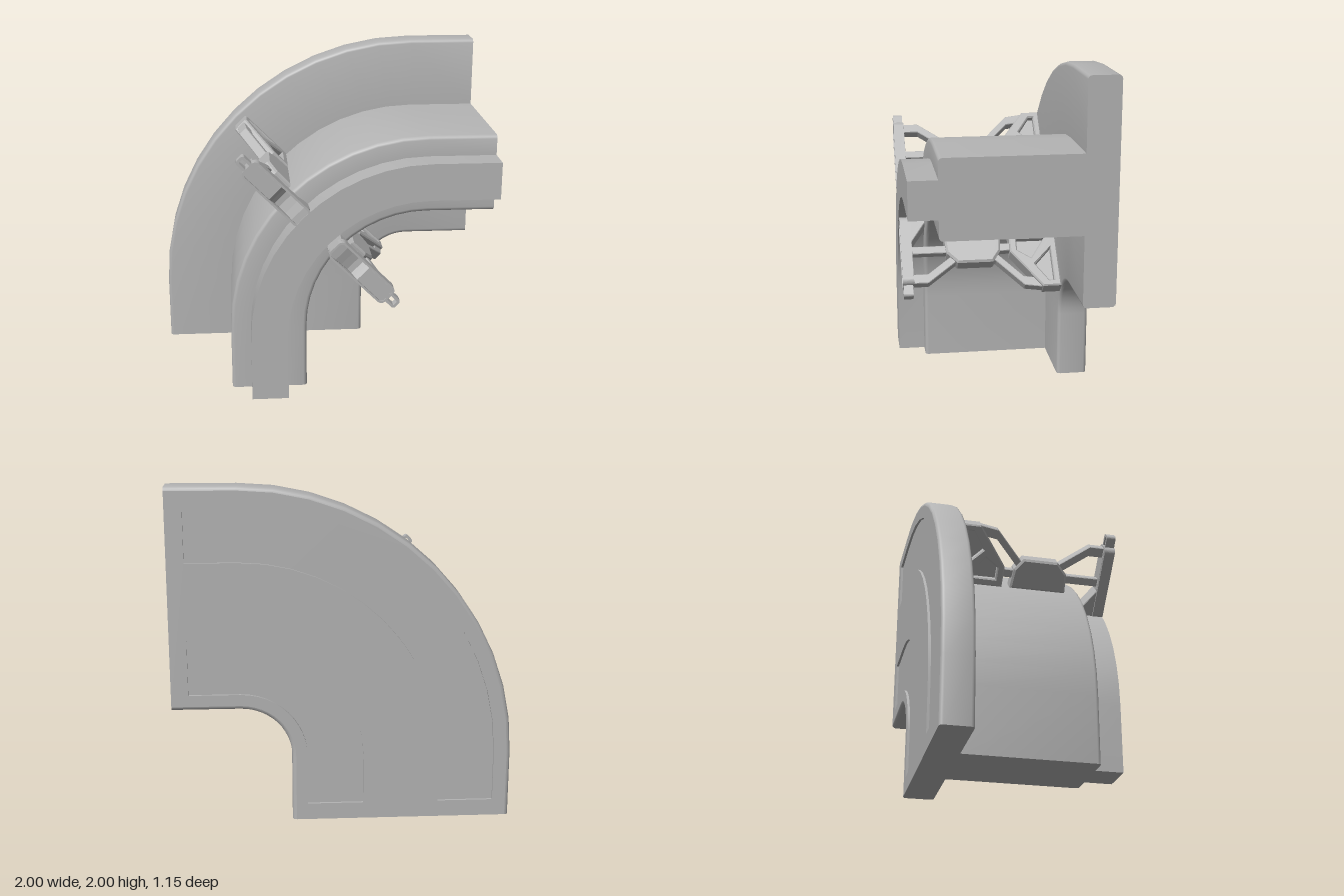
import * as THREE from 'three';
import { toCreasedNormals } from 'three/addons/utils/BufferGeometryUtils.js';

const CX = 0.6, CY = 0.4;   // centre of the bend
const STEPS = 12;           // facets in the quarter turn
const grey = new THREE.MeshStandardMaterial({ color: 0xb4b4b4 });
grey.name = 'grey';

function add(parent, name, geometry) {
  const mesh = new THREE.Mesh(geometry, grey);
  mesh.name = name;
  parent.add(mesh);
  return mesh;
}

// Stations along the bend: straight leg, quarter arc, straight leg
function stations(inset = 0) {
  const list = [[CX, inset, Math.PI]];
  for (let i = 0; i <= STEPS; i++) list.push([CX, CY, Math.PI - (i / STEPS) * Math.PI / 2]);
  list.push([1 - inset, CY, Math.PI / 2]);
  return list;
}
const at = ([x, y, a], r) => [x + r * Math.cos(a), y + r * Math.sin(a)];

// Round the square corners of a profile; each corner is [r, z, radius]
function rounded(corners) {
  const out = [];
  corners.forEach(([x, y, rad = 0], i) => {
    const p = new THREE.Vector2(x, y);
    if (!rad) { out.push(p); return; }
    const n = corners.length, prev = corners[(i + n - 1) % n], next = corners[(i + 1) % n];
    const din = p.clone().sub(new THREE.Vector2(prev[0], prev[1])).normalize();
    const dout = new THREE.Vector2(next[0], next[1]).sub(p).normalize();
    const c = p.clone().addScaledVector(din, -rad).addScaledVector(dout, rad);
    for (let k = 0; k <= 3; k++) {
      const a = k * Math.PI / 6;
      out.push(c.clone().addScaledVector(dout, -rad * Math.cos(a)).addScaledVector(din, rad * Math.sin(a)));
    }
  });
  return out;
}

// Sweep a counter-clockwise (r, z) profile along the bend, leaving its last edge open
function sweep(profile, inset = 0, inward = false) {
  const rings = stations(inset).map(s => profile.map(p => [...at(s, p.x), p.y]));
  const pos = [];
  const tri = (a, b, c) => inward ? pos.push(...a, ...c, ...b) : pos.push(...a, ...b, ...c);
  for (let i = 0; i < rings.length - 1; i++) {
    for (let j = 0; j < profile.length - 1; j++) {
      const a = rings[i][j], b = rings[i][j + 1], c = rings[i + 1][j + 1], d = rings[i + 1][j];
      tri(a, b, c);
      tri(a, c, d);
    }
  }
  const first = rings[0], last = rings[rings.length - 1];
  for (const [a, b, c] of THREE.ShapeUtils.triangulateShape(profile, [])) {
    tri(first[a], first[c], first[b]);
    tri(last[a], last[b], last[c]);
  }
  const g = new THREE.BufferGeometry();
  g.setAttribute('position', new THREE.Float32BufferAttribute(pos, 3));
  return toCreasedNormals(g, 0.6);
}

// Flat outline of a band of the bend, mirrored in x so it can be turned to face the back
function bandOutline(r0, r1, inset = 0) {
  const s = stations(inset);
  return [...s.map(k => at(k, r1)), ...s.reverse().map(k => at(k, r0))]
    .map(([x, y]) => new THREE.Vector2(-x, y));
}

const toShape = pts => new THREE.Shape(pts.map(p => new THREE.Vector2(...p)));

// Extrude an (r, z) side profile across the clip's width
function across(pts, width, holes = [], bevel = 0.008) {
  const shape = toShape(pts);
  holes.forEach(h => shape.holes.push(toShape(h)));
  const depth = width - 2 * bevel;
  return new THREE.ExtrudeGeometry(shape, {
    depth, bevelEnabled: bevel > 0, bevelSize: bevel, bevelThickness: bevel, bevelOffset: -bevel, bevelSegments: 1,
  }).translate(0, 0, -depth / 2).rotateX(Math.PI / 2);
}

// Bar of constant radial thickness through (r, z) points
function bar(pts, thick, width) {
  const t = thick / 2;
  return across([...pts.map(([r, z]) => [r - t, z]), ...pts.slice().reverse().map(([r, z]) => [r + t, z])], width, [], 0.004);
}

function roundRect(path, x0, x1, w, r) {
  path.moveTo(x0 + r, -w);
  path.lineTo(x1 - r, -w);
  path.absarc(x1 - r, -w + r, r, -Math.PI / 2, 0);
  path.absarc(x1 - r, w - r, r, 0, Math.PI / 2);
  path.absarc(x0 + r, w - r, r, Math.PI / 2, Math.PI);
  path.absarc(x0 + r, -w + r, r, Math.PI, Math.PI * 1.5);
  return path;
}

// Rounded frame lying in the front plane
function frontFrame(x0, x1, w, r, rim, z0, z1) {
  const shape = roundRect(new THREE.Shape(), x0, x1, w, r);
  shape.holes.push(roundRect(new THREE.Path(), x0 + rim, x1 - rim, w - rim, Math.max(r - rim, 0.006)));
  return new THREE.ExtrudeGeometry(shape, { depth: z1 - z0, bevelEnabled: false, curveSegments: 5 }).translate(0, 0, z0);
}

// Clip: x runs radially outward, z forward, seated at radius 1.18
function makeClip(name) {
  const clip = new THREE.Group();
  clip.name = name;
  const R = 1.18;

  // Lever with raised rim, dished face, hook and pull tab
  add(clip, 'leverRim', frontFrame(1.04, 1.5, 0.064, 0.035, 0.012, 0.51, 0.575));
  add(clip, 'leverHook', across([
    [1.046, 0.42], [1.09, 0.42], [1.22, 0.508], [1.49, 0.508], [1.49, 0.57], [1.28, 0.57],
    [1.26, 0.556], [1.235, 0.54], [1.2, 0.538], [1.15, 0.55], [1.1, 0.565], [1.046, 0.57],
  ], 0.108, [], 0.004));
  add(clip, 'pullTab', frontFrame(1.48, 1.57, 0.032, 0.018, 0.016, 0.515, 0.572));

  // Hub and struts
  add(clip, 'hub', across([
    [R, 0.31], [R + 0.12, 0.3], [R + 0.19, 0.235], [R + 0.19, 0.02], [R + 0.12, -0.03], [R, -0.04],
  ], 0.1, [], 0.012));
  add(clip, 'straightStrut', bar([[R + 0.085, -0.11], [R + 0.085, 0.52]], 0.05, 0.05));
  add(clip, 'frontStrut', bar([[R + 0.12, 0.2], [R + 0.15, 0.25], [R + 0.28, 0.42], [R + 0.28, 0.52]], 0.06, 0.06));
  add(clip, 'rearStrut', bar([[R + 0.12, 0.05], [R + 0.15, 0], [R + 0.32, -0.16], [R + 0.34, -0.29]], 0.06, 0.06));

  // Triangular bracket with two openings
  add(clip, 'bracket', across(
    [[R, -0.09], [R, -0.38], [R + 0.37, -0.38], [R + 0.37, -0.27], [R + 0.13, -0.09]], 0.1,
    [
      [[R + 0.045, -0.135], [R + 0.045, -0.305], [R + 0.175, -0.215], [R + 0.12, -0.135]],
      [[R + 0.11, -0.34], [R + 0.33, -0.34], [R + 0.33, -0.31], [R + 0.22, -0.235]],
    ], 0.008));
  add(clip, 'bracketWeb', across([[R + 0.02, -0.11], [R + 0.02, -0.36], [R + 0.34, -0.36], [R + 0.34, -0.28], [R + 0.12, -0.11]], 0.02, [], 0));
  return clip;
}

export function createModel() {
  const model = new THREE.Group();
  model.name = 'curvedCorner';

  // Flanged body with front ridge
  const e = 0.022;
  add(model, 'body', sweep(rounded([
    [1.6, -0.572, e], [1.6, -0.385, e], [1.18, -0.385], [1.18, 0.41, e], [1.06, 0.41], [1.06, 0.575],
    [0.84, 0.575], [0.84, 0.41], [0.72, 0.41, e], [0.72, -0.385], [0.3, -0.385, e], [0.3, -0.572, e],
  ])));

  // Back face with two shallow recessed bands
  const bands = [[0.39, 0.72], [1.17, 1.5]];
  const back = new THREE.Shape(bandOutline(0.3 + e, 1.6 - e));
  for (const [r0, r1] of bands) {
    back.holes.push(new THREE.Path(bandOutline(r0, r1, 0.1)));
    add(model, 'backRecess', sweep(rounded([[r1, -0.572], [r1, -0.557], [r0, -0.557], [r0, -0.572]]), 0.1, true));
  }
  add(model, 'backFace', new THREE.ShapeGeometry(back).rotateY(Math.PI).translate(0, 0, -0.572));

  // Matching clips outside and inside the bend, on its diagonal
  const outer = makeClip('outerClip');
  outer.position.set(CX, CY, 0);
  outer.rotation.z = Math.PI * 0.75;
  const inner = makeClip('innerClip');
  const d = 1.84 * Math.SQRT1_2;
  inner.position.set(CX - d, CY + d, 0);
  inner.rotation.z = -Math.PI / 4;
  model.add(outer, inner);
  return model;
}
